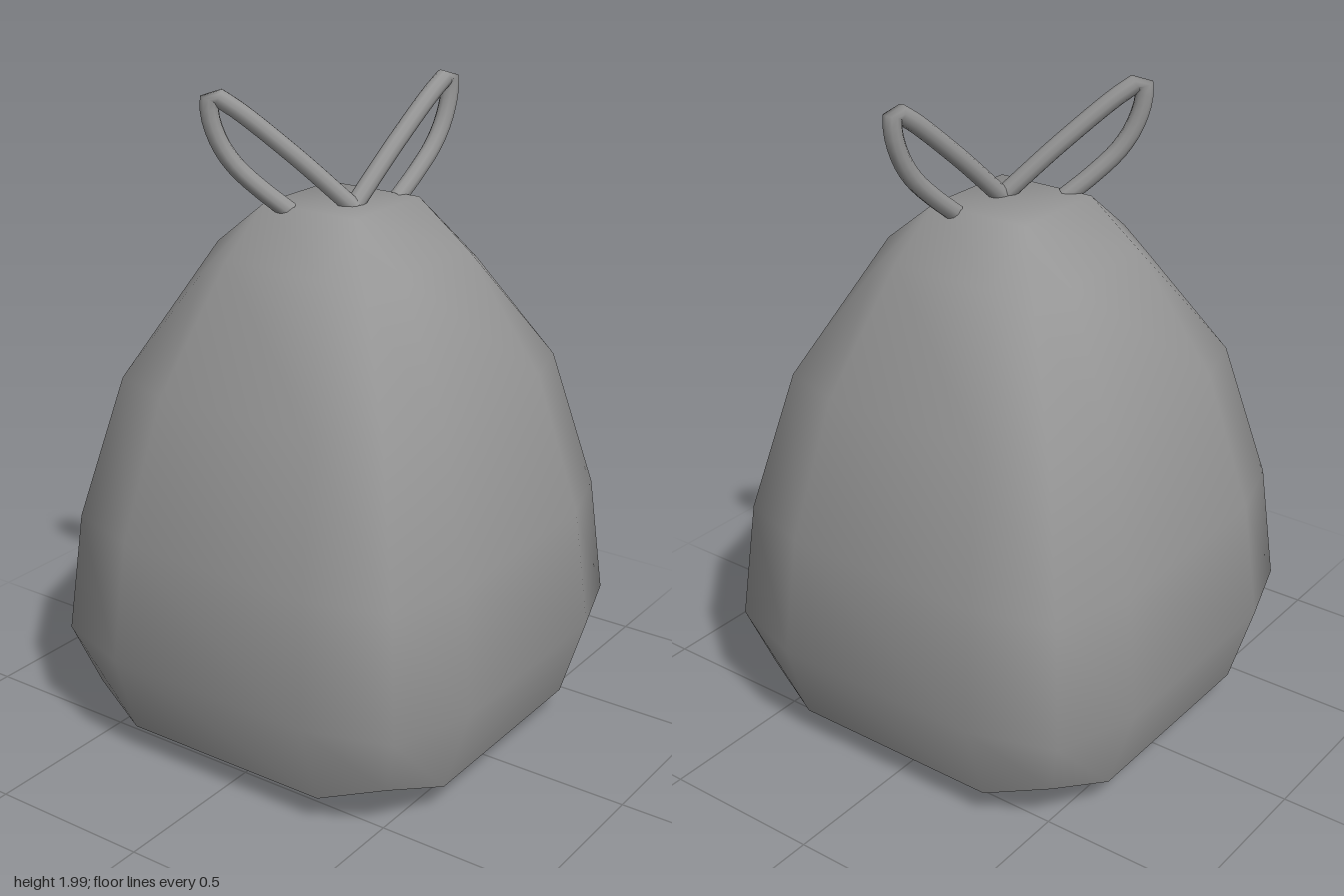
import * as THREE from 'three';

// Rounded-square ring of 12 points: e = side extent, s = half width of the flat side, c = corner
function ring(y, e, s, c, cornerY = y) {
  const pts = [];
  for (let k = 0; k < 4; k++) {
    const ca = Math.round(Math.cos(k * Math.PI / 2)), sa = Math.round(Math.sin(k * Math.PI / 2));
    for (const [x, h, z] of [[e, y, s], [c, cornerY, c], [s, y, e]]) {
      pts.push([x * ca - z * sa, h, x * sa + z * ca]);
    }
  }
  return pts;
}

// Flat square of 4 points that closes the top or the bottom
const square = (y, s) => [[s, y, s], [-s, y, s], [-s, y, -s], [s, y, -s]];

// Smooth normals weighted by corner angle, so narrow corner faces round off the wide sides
function angleNormals(points, idx) {
  const normals = points.map(() => new THREE.Vector3());
  for (let i = 0; i < idx.length; i += 3) {
    for (let k = 0; k < 3; k++) {
      const [a, b, c] = [0, 1, 2].map(n => idx[i + (k + n) % 3]);
      const u = points[b].clone().sub(points[a]), v = points[c].clone().sub(points[a]);
      normals[a].addScaledVector(u.clone().cross(v).normalize(), u.angleTo(v));
    }
  }
  return normals.flatMap(n => n.normalize().toArray());
}

// Smooth skin through rings from low to high; a 4-point ring is a flat cap
function skin(rings) {
  const points = [], idx = [], starts = [];
  for (const r of rings) {
    starts.push(points.length);
    r.forEach(p => points.push(new THREE.Vector3(...p)));
  }
  const at = (i, j) => starts[i] + (rings[i].length === 4 ? Math.floor((j % 12) / 3) : j % 12);
  const tri = (a, b, c) => { if (a !== b && b !== c && a !== c) idx.push(a, b, c); };
  for (let i = 0; i < rings.length - 1; i++) {
    for (let j = 0; j < 12; j++) {
      tri(at(i, j), at(i + 1, j), at(i + 1, j + 1));
      tri(at(i, j), at(i + 1, j + 1), at(i, j + 1));
    }
  }
  rings.forEach((r, i) => {
    if (r.length !== 4) return;
    const o = starts[i];
    if (i === 0) idx.push(o, o + 1, o + 2, o, o + 2, o + 3);
    else idx.push(o, o + 2, o + 1, o, o + 3, o + 2);
  });
  const g = new THREE.BufferGeometry().setFromPoints(points);
  g.setAttribute('normal', new THREE.Float32BufferAttribute(angleNormals(points, idx), 3));
  g.setIndex(idx);
  return g;
}

// String loop in an upright plane through two ground points; profile = [fraction along, height]
function loop(from, to, profile) {
  const pts = profile.map(([t, y]) => new THREE.Vector3(
    from[0] + (to[0] - from[0]) * t, y, from[1] + (to[1] - from[1]) * t));
  const curve = new THREE.CatmullRomCurve3(pts, false, 'centripetal');
  return new THREE.TubeGeometry(curve, 32, 0.027, 10, false);
}

export function createModel() {
  const group = new THREE.Group();
  const color = 0x969696;
  const mat = new THREE.MeshStandardMaterial({ color });
  const stringMat = new THREE.MeshStandardMaterial({ color, side: THREE.DoubleSide });
  const add = (name, geometry, material) => {
    const m = new THREE.Mesh(geometry, material);
    m.name = name;
    group.add(m);
  };

  // Sack body, with a hard edge where it meets the base
  const rim = ring(0.09, 0.6, 0.34, 0.535, 0.155);
  add('sackBody', skin([
    rim,
    ring(0.35, 0.68, 0.34, 0.595),
    ring(0.72, 0.637, 0.32, 0.56),
    ring(1.15, 0.522, 0.26, 0.46),
    ring(1.52, 0.325, 0.17, 0.285, 1.465),
    square(1.655, 0.16),
  ]), mat);
  add('sackBase', skin([square(0, 0.34), rim]), mat);

  // Bow loops of the tie string
  const profile = [
    [0, 1.645], [0.45, 1.81], [0.88, 1.95], [1, 1.974], [1.01, 1.925],
    [0.95, 1.845], [0.84, 1.775], [0.66, 1.705], [0.46, 1.64],
  ];
  add('rightStringLoop', loop([-0.025, 0.06], [-0.29, -0.24], profile), stringMat);
  add('leftStringLoop', loop([-0.025, 0.055], [0.365, 0.125], profile), stringMat);
  return group;
}
